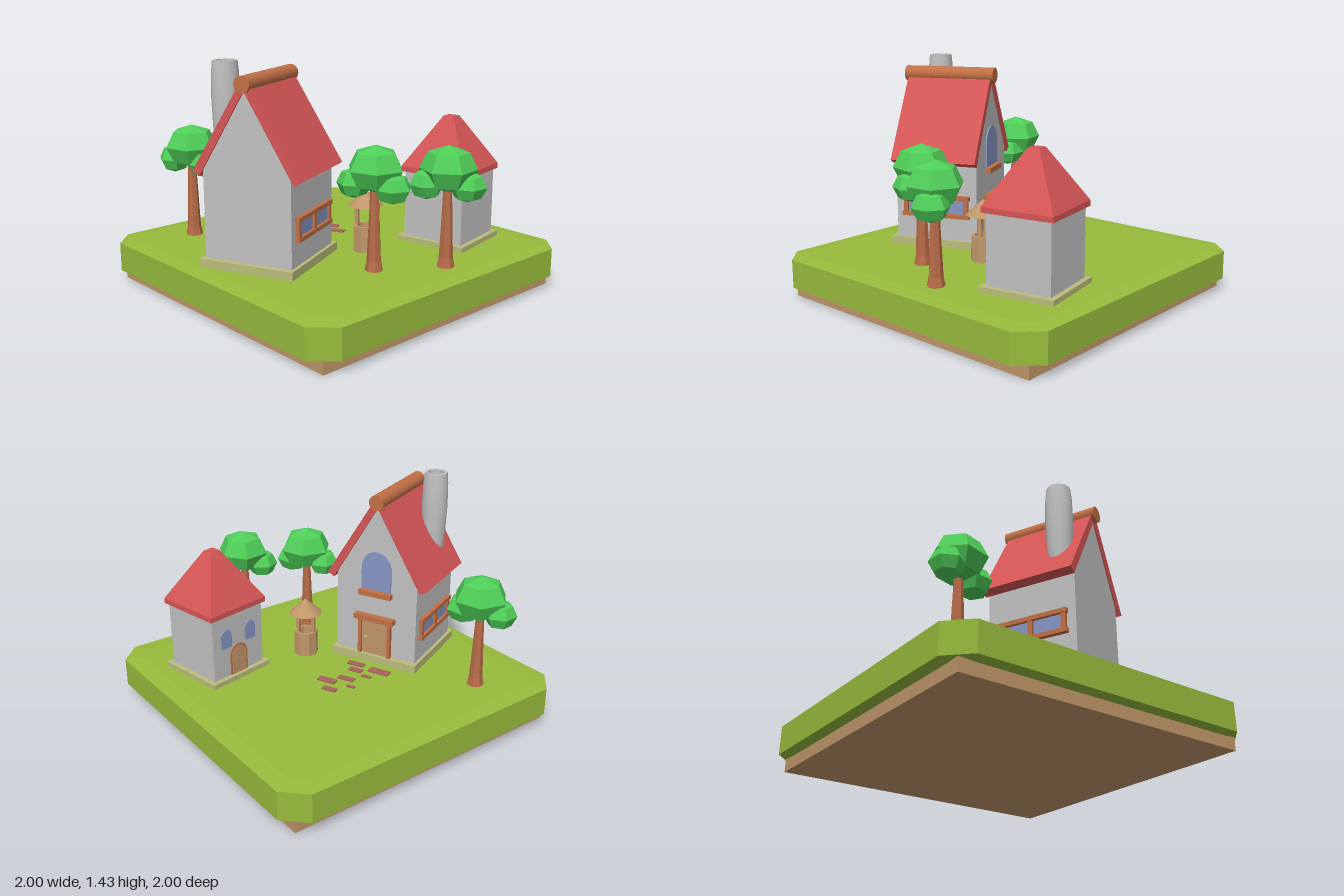
import * as THREE from 'three';
import { toCreasedNormals } from 'three/addons/utils/BufferGeometryUtils.js';

const PI = Math.PI;

export function createModel() {
  const mat = (name, color) => {
    const m = new THREE.MeshStandardMaterial({ color });
    m.name = name;
    return m;
  };
  const grass = mat('grass', 0x97bc3c), tan = mat('tan wood and soil', 0xc0966a);
  const wall = mat('grey plaster', 0xc2c2c2), plinth = mat('plinth stone', 0xbcbc7c);
  const red = mat('red roof', 0xd65656), trim = mat('orange timber', 0xc27045);
  const bark = mat('bark', 0xb86c48), leaf = mat('leaves', 0x4fce58);
  const glass = mat('blue glass', 0x8795c4), paving = mat('paving', 0xa8645c);

  const flat = (g) => {
    const f = g.index ? g.toNonIndexed() : g;
    f.computeVertexNormals();
    return f;
  };
  const add = (parent, name, geo, material, x = 0, y = 0, z = 0) => {
    const m = new THREE.Mesh(geo, material);
    m.name = name;
    m.position.set(x, y, z);
    parent.add(m);
    return m;
  };
  const group = (parent, name, x = 0, y = 0, z = 0, ry = 0) => {
    const g = new THREE.Group();
    g.name = name;
    g.position.set(x, y, z);
    g.rotation.y = ry;
    parent.add(g);
    return g;
  };
  const box = (w, h, d) => new THREE.BoxGeometry(w, h, d);
  const poly = (pts) => new THREE.Shape(pts.map(([x, y]) => new THREE.Vector2(x, y)));
  const extrude = (shape, depth) => new THREE.ExtrudeGeometry(shape, { depth, bevelEnabled: false, curveSegments: 8 });
  const lathe = (pts, n) => new THREE.LatheGeometry(pts.map(([x, y]) => new THREE.Vector2(x, y)), n);
  // thin plate with a rounded top, standing on y = 0
  const arch = (w, h, rise, depth) => {
    const s = new THREE.Shape();
    s.moveTo(-w / 2, 0);
    s.lineTo(w / 2, 0);
    s.lineTo(w / 2, h - rise);
    s.absellipse(0, h - rise, w / 2, rise, 0, PI, false);
    s.lineTo(-w / 2, 0);
    return extrude(s, depth);
  };

  const model = new THREE.Group();
  model.name = 'village';

  // ground: soil slab and grass slab with cut corners and a faintly domed top
  add(model, 'soil', box(1.86, 0.08, 1.86), tan, 0, 0.04, 0);
  const a = 0.9, b = 0.83;
  const lawn = new THREE.ExtrudeGeometry(
    poly([[-b, -a], [b, -a], [a, -b], [a, b], [b, a], [-b, a], [-a, b], [-a, -b]]),
    { depth: 0.175, bevelThickness: 0.01, bevelSize: 0.1, bevelSegments: 1 });
  add(model, 'lawn', lawn.rotateX(-PI / 2), grass, 0, 0.08, 0);

  // house
  const house = group(model, 'house', -0.005, 0, 0.505, 0.41);
  add(house, 'housePlinth', box(0.585, 0.065, 0.6), plinth, 0, 0.2825, 0);
  add(house, 'houseWalls', extrude(poly([[-0.273, 0.3], [0.273, 0.3], [0.273, 0.85], [0, 1.3], [-0.273, 0.85]]), 0.53),
    wall, 0, 0, -0.265);
  add(house, 'houseRoof', extrude(poly([[0.295, 0.79], [0.338, 0.815], [0, 1.365], [-0.338, 0.815], [-0.295, 0.79], [0, 1.285]]), 0.55),
    red, 0, 0, -0.275);
  add(house, 'ridgeBeam', new THREE.CylinderGeometry(0.048, 0.048, 0.59, 16).rotateX(PI / 2), trim, 0, 1.322, 0);
  add(house, 'chimney', toCreasedNormals(lathe([[0.062, 0.9], [0.074, 1.05], [0.08, 1.22], [0.077, 1.36], [0.07, 1.43],
    [0.052, 1.43], [0.052, 1.2], [0, 1.2]], 18), 0.7), wall, -0.187, 0, 0.142);

  // framed double windows on both long walls
  for (const side of [-1, 1]) {
    const win = group(house, side < 0 ? 'rightWindow' : 'leftWindow', side * 0.273, 0.53, 0, side * PI / 2);
    for (const x of [-0.1, 0.1]) add(win, 'windowPane', box(0.17, 0.1, 0.008), glass, x, 0, 0.004);
    for (const y of [-0.058, 0.058]) add(win, 'windowRail', box(0.44, 0.026, 0.03), trim, 0, y, 0.012);
    for (const x of [-0.198, 0, 0.198]) add(win, 'windowPost', box(0.028, 0.1, 0.024), trim, x, 0, 0.01);
  }

  // entrance with door, frame and arched window
  const entry = group(house, 'entrance', 0, 0, -0.265, PI);
  add(entry, 'door', box(0.18, 0.24, 0.016), tan, 0, 0.435, 0.004);
  for (const x of [-0.1, 0.1]) add(entry, 'doorPost', box(0.022, 0.24, 0.03), trim, x, 0.435, 0.012);
  add(entry, 'lintel', box(0.27, 0.032, 0.05), trim, 0, 0.57, 0.02);
  add(entry, 'doorKnob', new THREE.SphereGeometry(0.011, 10, 8), plinth, -0.06, 0.43, 0.02);
  add(entry, 'archedWindow', arch(0.2, 0.25, 0.11, 0.008), glass, 0, 0.755, 0);
  add(entry, 'windowSill', box(0.22, 0.032, 0.04), trim, 0, 0.735, 0.016);

  // tower with a truncated pyramid roof
  const tower = group(model, 'tower', 0.437, 0, -0.565, 0.185);
  add(tower, 'towerPlinth', box(0.455, 0.045, 0.455), plinth, 0, 0.274, 0);
  add(tower, 'towerWalls', box(0.394, 0.43, 0.394), wall, 0, 0.495, 0);
  add(tower, 'towerEaves', box(0.432, 0.032, 0.432), red, 0, 0.718, 0);
  const hip = new THREE.CylinderGeometry(0.035 * Math.SQRT2, 0.216 * Math.SQRT2, 0.306, 4);
  add(tower, 'towerRoof', flat(hip.rotateY(PI / 4)), red, 0, 0.887, 0);
  const towerFront = group(tower, 'towerEntrance', -0.197, 0, 0, -PI / 2);
  add(towerFront, 'towerDoor', arch(0.11, 0.18, 0.055, 0.009), tan, 0, 0.296, 0);
  add(towerFront, 'towerDoorFrame', arch(0.135, 0.193, 0.067, 0.005), trim, 0, 0.296, 0);
  for (const x of [-0.095, 0.095]) add(towerFront, 'towerWindow', arch(0.08, 0.12, 0.04, 0.008), glass, x, 0.49, 0);

  // well
  const well = group(model, 'well', 0.26, 0, -0.012, 0.41);
  add(well, 'wellWall', flat(lathe([[0.078, 0.255], [0.076, 0.42], [0.054, 0.42], [0.054, 0.3], [0, 0.3]], 8)), tan);
  for (const x of [-0.055, 0.055]) add(well, 'wellPost', box(0.022, 0.2, 0.022), tan, x, 0.46, 0);
  add(well, 'wellRoof', new THREE.ConeGeometry(0.103, 0.095, 20), tan, 0, 0.592, 0);

  // trees: flared trunk and three faceted crowns
  const crown = flat(new THREE.SphereGeometry(1, 6, 4));
  const trunk = flat(lathe([[0.055, 0.255], [0.042, 0.32], [0.034, 0.5], [0.024, 0.75]], 7));
  const crowns = [ // x, y, z, radius, half height, turn
    [0, 0.835, -0.005, 0.165, 0.135, 0.25],
    [-0.105, 0.75, 0.055, 0.1, 0.088, 0.6],
    [0.11, 0.738, -0.025, 0.108, 0.088, 0.1],
  ];
  for (const [x, z, turn, lift] of [[-0.7, 0.565, 0, 0], [0.55, 0.205, 0.06, 0.015], [0.78, -0.14, 0.4, 0]]) {
    const tree = group(model, 'tree', x, 0, z, turn);
    add(tree, 'trunk', trunk, bark);
    for (const [cx, cy, cz, r, h, t] of crowns) {
      const c = add(tree, 'crown', crown, leaf, cx, cy + lift, cz);
      c.scale.set(r, h, r);
      c.rotation.y = t;
    }
  }

  // path stones: x, z, length, width
  const stones = [[-0.23, -0.19, 0.09, 0.04], [-0.135, -0.135, 0.115, 0.05], [-0.285, -0.07, 0.055, 0.022],
    [-0.19, -0.03, 0.105, 0.042], [-0.245, 0.083, 0.06, 0.024], [-0.14, 0.083, 0.085, 0.042],
    [-0.08, 0.135, 0.11, 0.042], [-0.245, 0.185, 0.135, 0.055]];
  for (const [x, z, w, d] of stones) {
    add(model, 'pathStone', box(w, 0.016, d), paving, x, 0.265, z).rotation.y = 0.43;
  }
  return model;
}
